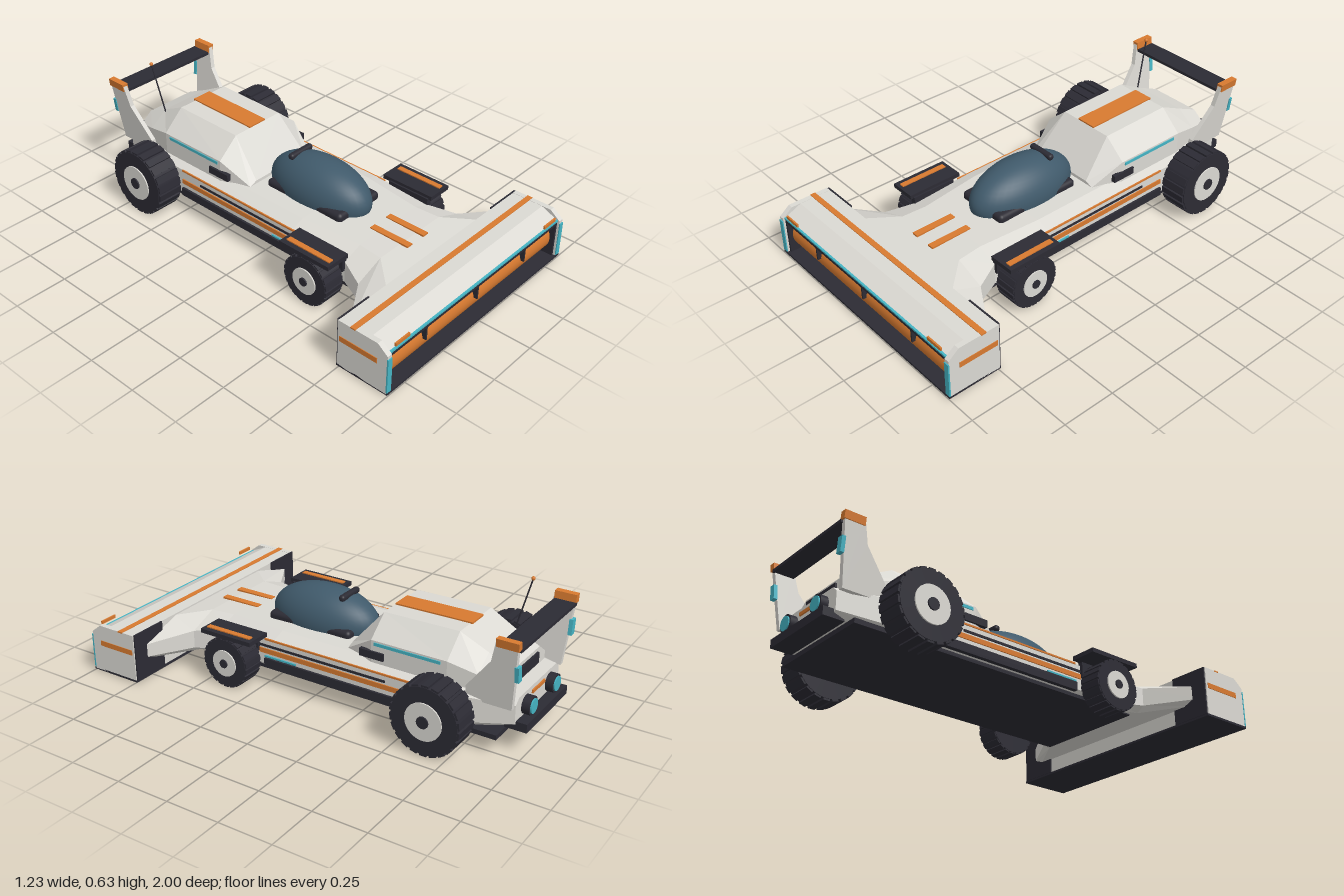
import * as THREE from 'three';
import { RoundedBoxGeometry } from 'three/addons/geometries/RoundedBoxGeometry.js';

const paint = (name, color) => Object.assign(new THREE.MeshStandardMaterial({ color }), { name });

export function createModel() {
  const root = new THREE.Group();
  root.name = 'harvesterRacer';
  const white = paint('shellWhite', 0xdbd9d3);
  const dark = paint('darkTrim', 0x2c2b34);
  const orange = paint('orangeAccent', 0xd87a30);
  const cyan = paint('cyanLight', 0x45b4c4);
  const glass = paint('canopyGlass', 0x405a6b);

  const add = (name, geo, mat, x = 0, y = 0, z = 0) => {
    const m = new THREE.Mesh(geo, mat);
    m.name = name;
    m.position.set(x, y, z);
    root.add(m);
    return m;
  };
  // box given by its limits on each axis
  const box = (name, mat, x0, x1, y0, y1, z0, z1) =>
    add(name, new THREE.BoxGeometry(Math.abs(x1 - x0), y1 - y0, z1 - z0), mat,
      (x0 + x1) / 2, (y0 + y1) / 2, (z0 + z1) / 2);
  const pair = (name, mat, x0, x1, ...r) => [1, -1].forEach(s => box(name, mat, s * x0, s * x1, ...r));
  const cylX = (r, len, n = 24) => new THREE.CylinderGeometry(r, r, len, n).rotateZ(Math.PI / 2);
  const cylZ = (r, len, n = 24) => new THREE.CylinderGeometry(r, r, len, n).rotateX(Math.PI / 2);
  // side outline [z, y] extruded across x, centred on x = 0
  const slab = (pts, width) => {
    const shape = new THREE.Shape(pts.map(p => new THREE.Vector2(...p)));
    return new THREE.ExtrudeGeometry(shape, { depth: width, bevelEnabled: false })
      .rotateY(-Math.PI / 2).translate(width / 2, 0, 0);
  };
  // faceted hull from sections [z, bottomHalf, sideHalf, topHalf, yBottom, ySideLow, ySideHigh, yTop]
  const loft = secs => {
    const pos = [], idx = [], n = 8;
    for (const [z, wb, w, wt, y0, y1, y2, y3] of secs) {
      const half = [[wb, y0], [w, y1], [w, y2], [wt, y3]];
      for (const [x, y] of half) pos.push(x, y, z);
      for (const [x, y] of half.reverse()) pos.push(-x, y, z);
    }
    const last = (secs.length - 1) * n;
    for (let i = 0; i < last; i += n) {
      for (let j = 0; j < n; j++) {
        const k = (j + 1) % n;
        idx.push(i + j, i + n + j, i + k, i + k, i + n + j, i + n + k);
      }
    }
    for (let j = 1; j < n - 1; j++) idx.push(0, j, j + 1, last, last + j + 1, last + j);
    const g = new THREE.BufferGeometry();
    g.setAttribute('position', new THREE.Float32BufferAttribute(pos, 3));
    g.setIndex(idx);
    const flat = g.toNonIndexed();
    flat.computeVertexNormals();
    return flat;
  };

  // main hull, flaring out to the front header
  add('hull', loft([
    [0.75, 0.5, 0.55, 0.32, 0.09, 0.11, 0.17, 0.235],
    [0.62, 0.3, 0.34, 0.2, 0.085, 0.11, 0.195, 0.25],
    [0.5, 0.26, 0.285, 0.19, 0.085, 0.11, 0.215, 0.252],
    [0.2, 0.26, 0.285, 0.22, 0.085, 0.11, 0.235, 0.26],
    [-0.7, 0.26, 0.285, 0.22, 0.085, 0.11, 0.235, 0.26],
    [-0.95, 0.18, 0.21, 0.18, 0.12, 0.14, 0.225, 0.25]]), white);
  box('floor', dark, -0.27, 0.27, 0.078, 0.1, -0.9, 0.6);
  pair('sideSkirt', dark, 0.26, 0.296, 0.1, 0.14, -0.5, 0.25);
  pair('sideStripe', orange, 0.284, 0.29, 0.163, 0.186, -0.5, 0.28);
  pair('sideGroove', dark, 0.284, 0.289, 0.195, 0.206, -0.38, 0.28);
  pair('shoulderStripe', orange, 0.281, 0.289, 0.228, 0.236, -0.5, 0.25);
  pair('sideLight', cyan, 0.284, 0.291, 0.144, 0.152, 0.08, 0.25);
  pair('hoodStripe', orange, 0.038, 0.07, 0.249, 0.257, 0.455, 0.66);

  // engine cover
  add('engineCover', loft([
    [-0.14, 0.2, 0.2, 0.16, 0.24, 0.25, 0.26, 0.275],
    [-0.285, 0.245, 0.245, 0.14, 0.24, 0.25, 0.355, 0.445],
    [-0.65, 0.245, 0.245, 0.14, 0.24, 0.25, 0.355, 0.45],
    [-0.78, 0.22, 0.22, 0.13, 0.24, 0.25, 0.32, 0.385],
    [-0.89, 0.19, 0.19, 0.13, 0.23, 0.24, 0.29, 0.335]]), white);
  const stripe = box('coverStripe', orange, -0.05, 0.05, 0.446, 0.454, -0.66, -0.285);
  stripe.rotation.x = 0.012;
  pair('coverLight', cyan, 0.24, 0.249, 0.333, 0.347, -0.62, -0.3);
  pair('coverIntake', dark, 0.235, 0.255, 0.272, 0.306, -0.35, -0.23);
  box('rearGrille', dark, -0.11, 0.11, 0.268, 0.318, -0.9, -0.87);

  // cockpit
  add('cockpitFrame', new RoundedBoxGeometry(0.27, 0.05, 0.44, 3, 0.02), dark, 0, 0.266, 0.12);
  add('canopy', new THREE.SphereGeometry(1, 40, 24).scale(0.145, 0.15, 0.275), glass, 0, 0.278, 0.11);
  add('canopyHandle', new RoundedBoxGeometry(0.14, 0.03, 0.03, 3, 0.013), dark, 0, 0.41, -0.015);

  // front header: shell, end plates, roller
  add('headerRoof', slab([[0.745, 0.2], [0.97, 0.19], [0.985, 0.205], [0.9, 0.243], [0.745, 0.243]], 1.18), white);
  box('headerBack', white, -0.59, 0.59, 0.02, 0.21, 0.745, 0.755);
  box('headerLining', dark, -0.585, 0.585, 0.02, 0.2, 0.756, 0.775);
  pair('headerBackPanel', dark, 0.42, 0.605, 0.02, 0.245, 0.738, 0.746);
  box('headerFloor', dark, -0.61, 0.61, 0.01, 0.02, 0.74, 1);
  box('headerLip', dark, -0.585, 0.585, 0.182, 0.2, 0.965, 0.985);
  box('headerLightBar', cyan, -0.585, 0.585, 0.2, 0.208, 0.978, 0.988);
  box('headerTopStripe', orange, -0.611, 0.611, 0.24, 0.246, 0.808, 0.834);
  const plate = [[0.745, 0.015], [0.995, 0.015], [0.995, 0.205], [0.945, 0.244], [0.745, 0.244]];
  for (const s of [1, -1]) add('headerEndPlate', slab(plate, 0.025), white, s * 0.5975);
  pair('headerEndLight', cyan, 0.586, 0.611, 0.022, 0.19, 0.993, 1);
  pair('headerInnerTrim', dark, 0.574, 0.586, 0.02, 0.2, 0.78, 0.985);
  pair('headerSideStripe', orange, 0.606, 0.613, 0.145, 0.17, 0.755, 0.945);
  pair('headerMarker', orange, 0.47, 0.556, 0.22, 0.235, 0.983, 0.991);
  add('roller', cylX(0.08, 1.15, 32), orange, 0, 0.103, 0.885);
  for (const x of [-0.345, 0, 0.345]) box('rollerGuard', dark, x - 0.004, x + 0.004, 0.112, 0.2, 0.955, 0.98);

  // wheels
  const wheel = (name, s, x0, x1, y, z, r) => {
    const g = new THREE.Group();
    g.name = name;
    g.position.set(s * (x0 + x1) / 2, y, z);
    const w = x1 - x0;
    const put = (part, geo, mat, x = 0) => {
      const m = new THREE.Mesh(geo, mat);
      m.name = part;
      m.position.x = x;
      g.add(m);
      return m;
    };
    put('tyre', cylX(r * 0.95, w, 32), dark);
    const n = 22, tread = new THREE.BoxGeometry(w * 0.96, r * 0.1, r * 0.2).translate(0, r * 0.95, 0);
    for (let i = 0; i < n; i++) put('tread', tread, dark).rotation.x = i / n * Math.PI * 2;
    put('rim', cylX(r * 0.53, 0.012), white, s * w / 2);
    put('hubCap', cylX(r * 0.17, 0.025, 12), dark, s * w / 2);
    root.add(g);
  };
  for (const s of [1, -1]) {
    wheel('frontWheel', s, 0.3, 0.41, 0.125, 0.385, 0.12);
    wheel('rearWheel', s, 0.305, 0.438, 0.168, -0.655, 0.162);
  }
  add('frontAxle', cylX(0.022, 0.7, 12), dark, 0, 0.125, 0.385);
  add('rearAxle', cylX(0.022, 0.9, 12), dark, 0, 0.168, -0.655);

  // front fenders
  pair('fender', dark, 0.283, 0.41, 0.244, 0.264, 0.24, 0.515);
  pair('fenderBracket', dark, 0.275, 0.3, 0.17, 0.25, 0.28, 0.5);
  pair('fenderStripe', orange, 0.36, 0.386, 0.261, 0.269, 0.26, 0.5);

  // leaning rear fins with caps, lights and wing
  const lean = (geo, s) => {
    const p = geo.attributes.position;
    for (let i = 0; i < p.count; i++) p.setX(i, p.getX(i) + s * (0.238 + (p.getY(i) - 0.22) * 0.125));
    geo.computeVertexNormals();
    return geo;
  };
  const fin = [[-0.95, 0.22], [-0.74, 0.22], [-0.745, 0.28], [-0.86, 0.43], [-0.885, 0.54], [-0.98, 0.54]];
  for (const s of [1, -1]) {
    add('rearFin', lean(slab(fin, 0.022), s), white);
    add('finCap', lean(new THREE.BoxGeometry(0.03, 0.037, 0.1).translate(0, 0.524, -0.933), s), orange);
    add('finLight', lean(new THREE.BoxGeometry(0.03, 0.07, 0.018).translate(0, 0.397, -0.973), s), cyan);
    add('tailLampHousing', cylZ(0.042, 0.05), dark, s * 0.115, 0.192, -0.96);
    add('tailLamp', cylZ(0.033, 0.012), cyan, s * 0.115, 0.192, -0.985);
  }
  box('rearWing', dark, -0.268, 0.268, 0.495, 0.509, -0.985, -0.885);
  box('rearBumper', dark, -0.2, 0.2, 0.108, 0.148, -1, -0.9);
  box('tailStripe', orange, -0.06, 0.06, 0.215, 0.23, -0.957, -0.948);

  // antenna
  const from = new THREE.Vector3(-0.138, 0.37, -0.765), to = new THREE.Vector3(-0.155, 0.622, -0.828);
  const path = new THREE.LineCurve3(from, to);
  add('antenna', new THREE.TubeGeometry(path, 1, 0.0035, 8), dark);
  add('antennaTip', new THREE.SphereGeometry(0.009, 12, 8), orange, to.x, to.y, to.z);
  return root;
}
